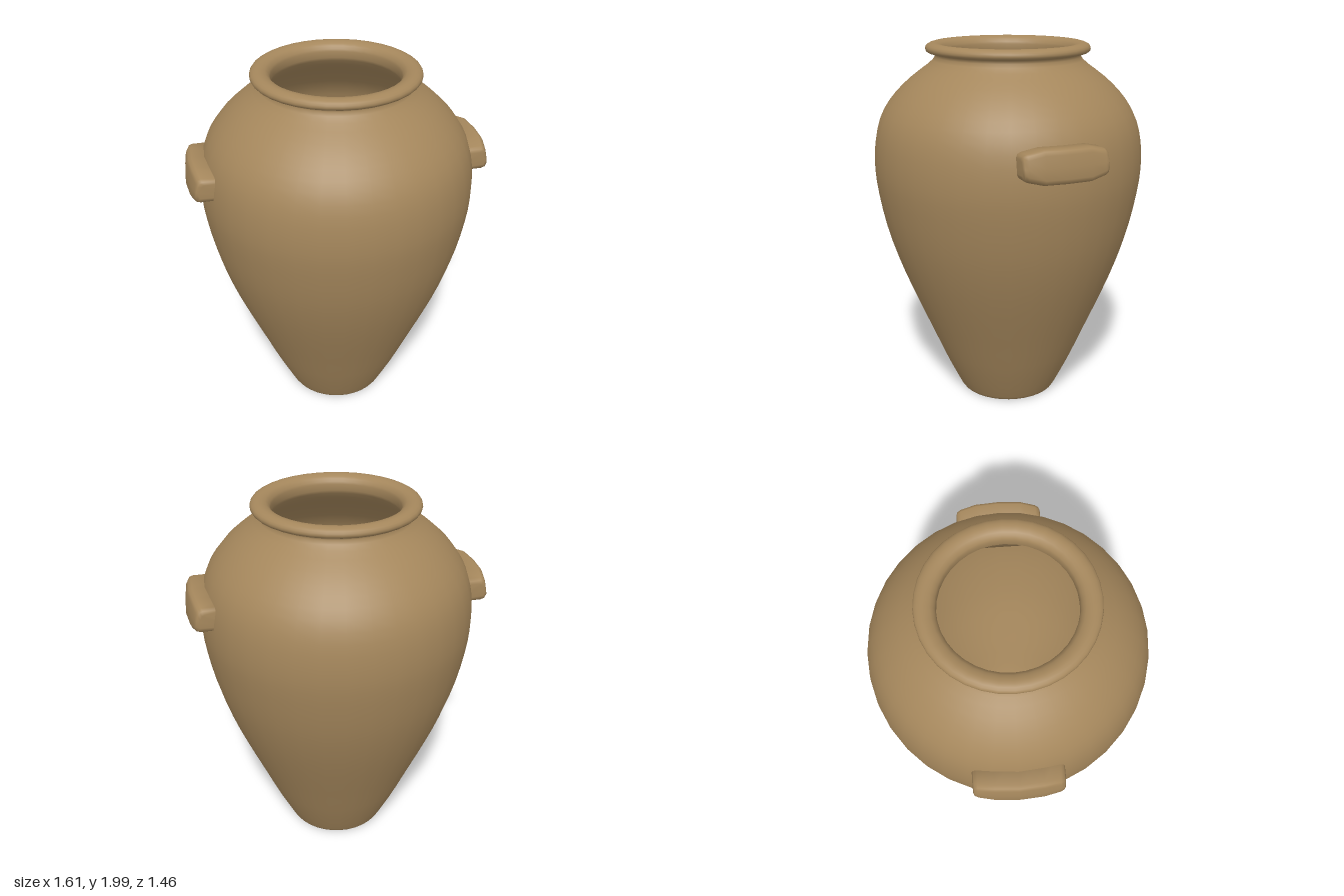
import * as THREE from 'three';

const clay = new THREE.MeshStandardMaterial({ color: 0xa5875c });
const toVectors = (pairs) => pairs.map(([x, y]) => new THREE.Vector2(x, y));
const smooth = (pairs, n) => new THREE.SplineCurve(toVectors(pairs)).getPoints(n);

// One closed profile: foot, belly, neck, rolled rim, then down the inner wall
function createJar() {
  const foot = toVectors([[0, 0.008], [0.23, 0.008], [0.25, 0.008], [0.272, 0.013]]);
  const belly = smooth([
    [0.283, 0.03], [0.365, 0.2], [0.45, 0.4], [0.535, 0.6], [0.613, 0.8], [0.675, 1.0],
    [0.715, 1.2], [0.73, 1.35], [0.72, 1.5], [0.685, 1.62], [0.62, 1.72], [0.53, 1.81], [0.43, 1.885],
  ], 26);
  const neck = toVectors([[0.402, 1.91], [0.39, 1.928], [0.395, 1.944]]);
  const rim = smooth([
    [0.41, 1.948], [0.43, 1.952], [0.441, 1.968], [0.433, 1.988], [0.405, 2.0],
    [0.375, 1.997], [0.348, 1.982], [0.335, 1.955],
  ], 14);
  const inside = smooth([
    [0.335, 1.92], [0.37, 1.87], [0.48, 1.78], [0.57, 1.69], [0.64, 1.58], [0.675, 1.4],
    [0.655, 1.2], [0.61, 1.0], [0.55, 0.8], [0.47, 0.6], [0.385, 0.4], [0.3, 0.2], [0.2, 0.08], [0, 0.06],
  ], 26);
  const jar = new THREE.Mesh(
    new THREE.LatheGeometry([...foot, ...belly, ...neck, ...rim, ...inside], 36), clay);
  jar.name = 'jar';
  return jar;
}

// Lug: rounded cross-sections swept along z, tapering at both ends
function createLug(side) {
  // z, half height, outer x
  const half = [[0.225, 0.04, 0.765], [0.218, 0.056, 0.777], [0.2, 0.066, 0.784], [0.12, 0.085, 0.798]];
  const stations = [
    ...half.map(([z, h, x]) => [-z, h, x]),
    [0, 0.085, 0.806],
    ...half.slice().reverse(),
  ];
  const inner = 0.6, midY = 1.495;
  const positions = [], index = [];
  const section = (h, x) => [
    [inner, -h], [x - 0.03, -h], [x - 0.01, -h + 0.007], [x, -h + 0.03],
    [x - 0.005, 0], [x - 0.014, h - 0.025], [x - 0.024, h - 0.007], [x - 0.04, h], [inner, h],
  ];
  const n = section(1, 1).length;
  for (const [z, h, x] of stations) {
    for (const [px, py] of section(h, x)) positions.push(side * px, midY + py, z);
  }
  const tri = (a, b, c) => (side > 0 ? index.push(a, b, c) : index.push(a, c, b));
  for (let s = 0; s < stations.length - 1; s++) {
    for (let i = 0; i < n; i++) {
      const a = s * n + i, b = s * n + ((i + 1) % n);
      tri(a, b, b + n);
      tri(a, b + n, a + n);
    }
  }
  // End caps
  const last = (stations.length - 1) * n;
  for (let i = 1; i < n - 1; i++) {
    tri(0, i + 1, i);
    tri(last, last + i, last + i + 1);
  }
  const geometry = new THREE.BufferGeometry();
  geometry.setAttribute('position', new THREE.Float32BufferAttribute(positions, 3));
  geometry.setIndex(index);
  geometry.computeVertexNormals();
  const lug = new THREE.Mesh(geometry, clay);
  lug.name = side > 0 ? 'leftLug' : 'rightLug';
  return lug;
}

export function createModel() {
  const group = new THREE.Group();
  group.name = 'storageJar';
  group.add(createJar(), createLug(1), createLug(-1));
  return group;
}
